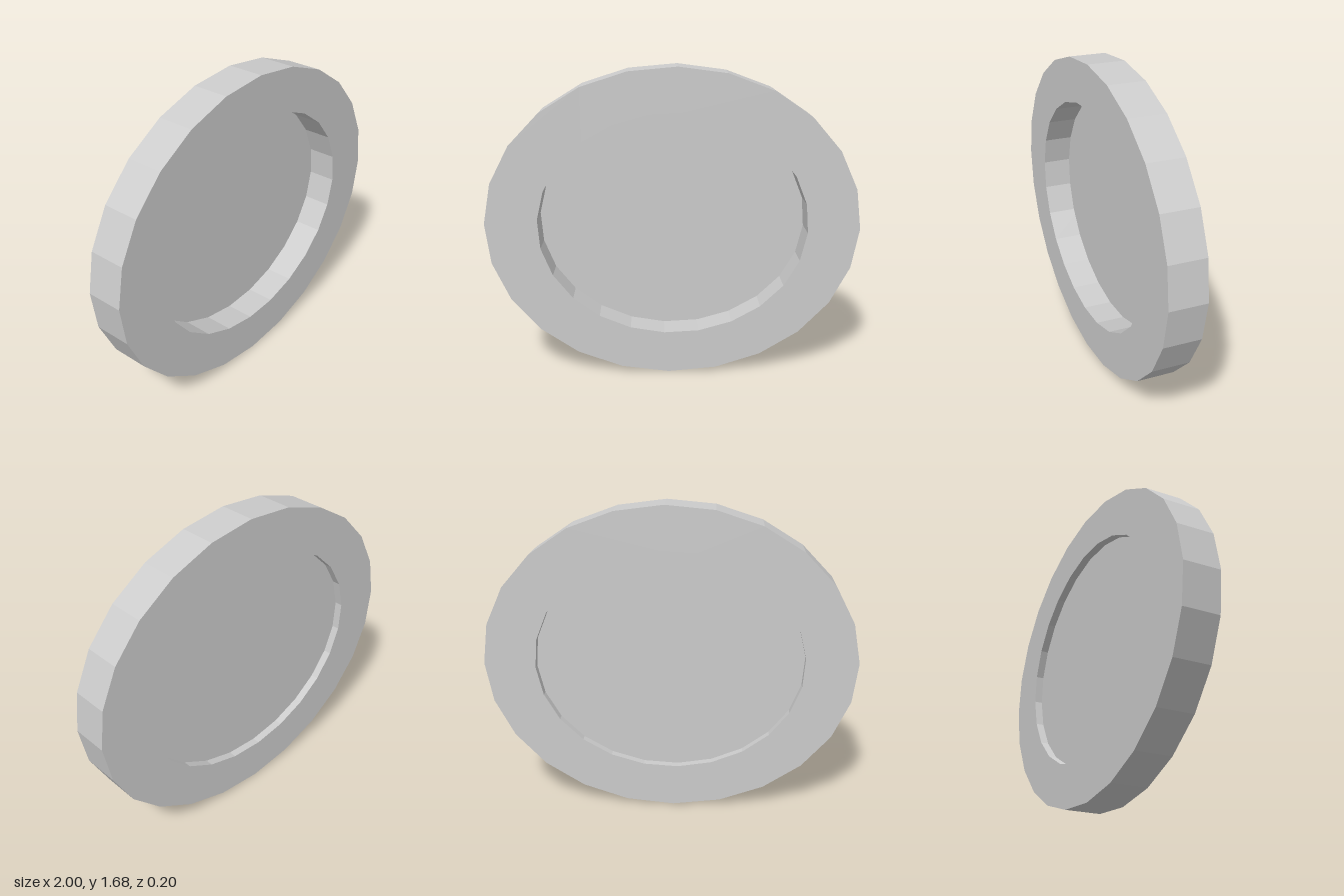
import * as THREE from 'three';

const SIDES = 24;
const CENTRE_Y = 0.84;

// Corners of a 24-sided ellipse, turned by a small starting angle
function ellipsePoints(rx, ry, startDegrees) {
  const start = THREE.MathUtils.degToRad(startDegrees);
  return Array.from({ length: SIDES }, (_, i) => {
    const a = start + (i / SIDES) * Math.PI * 2;
    return new THREE.Vector2(rx * Math.cos(a), CENTRE_Y + ry * Math.sin(a));
  });
}

export function createModel() {
  const group = new THREE.Group();
  group.name = 'ovalFramedPanel';

  const outer = ellipsePoints(1, 0.84, -1.4);
  const inner = ellipsePoints(0.722, 0.607, -3.8);

  // Thick oval frame with an open middle
  const frameShape = new THREE.Shape(outer);
  frameShape.holes.push(new THREE.Path(inner));
  const frameGeometry = new THREE.ExtrudeGeometry(frameShape, { depth: 0.2, bevelEnabled: false });
  frameGeometry.translate(0, 0, -0.1);
  const frame = new THREE.Mesh(
    frameGeometry,
    new THREE.MeshStandardMaterial({ color: 0xcccccc, flatShading: true })
  );
  frame.name = 'frame';
  group.add(frame);

  // Thin panel set deep in the frame, close to the back
  const panel = new THREE.Mesh(
    new THREE.ShapeGeometry(new THREE.Shape(inner)),
    new THREE.MeshStandardMaterial({ color: 0xcccccc, flatShading: true, side: THREE.DoubleSide })
  );
  panel.name = 'panel';
  panel.position.z = -0.057;
  group.add(panel);

  return group;
}
